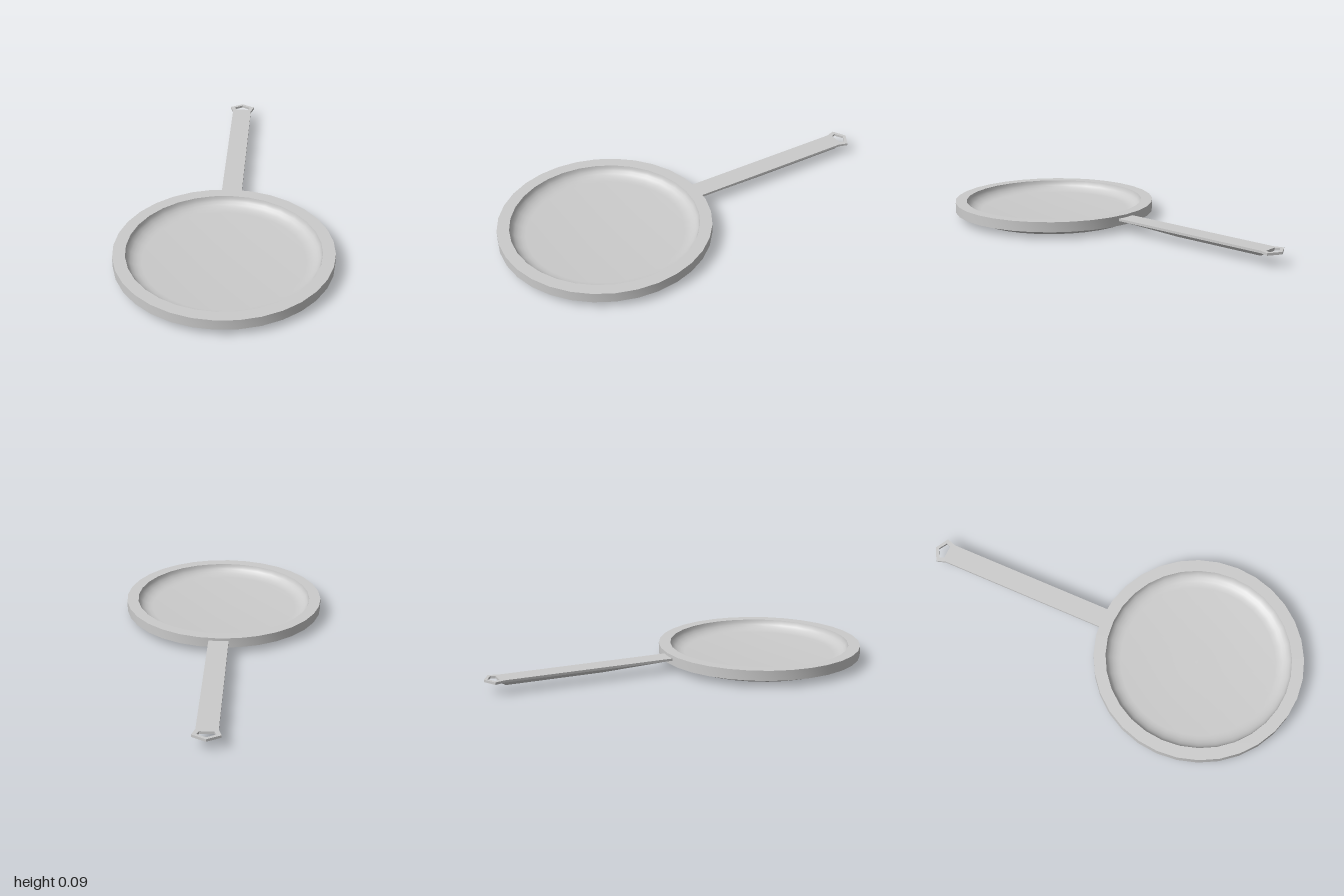
import * as THREE from 'three';
import { toCreasedNormals } from 'three/addons/utils/BufferGeometryUtils.js';

const material = new THREE.MeshStandardMaterial({ color: 0xcccccc });

function addMesh(group, name, geometry, crease) {
  const mesh = new THREE.Mesh(toCreasedNormals(geometry, crease), material);
  mesh.name = name;
  group.add(mesh);
  return mesh;
}

const points = (list) => list.map(([x, y]) => new THREE.Vector2(x, y));

export function createModel() {
  const group = new THREE.Group();
  group.name = 'fryingPan';

  // Pan: bevelled base, upright outer band, flat rim and a filleted shallow bowl
  const profile = [[0, 0], [0.43, 0], [0.485, 0.034], [0.525, 0.034], [0.525, 0.085], [0.465, 0.085]];
  const steps = 6;
  for (let i = 1; i <= steps; i++) {
    const a = (i / steps) * Math.PI / 2;
    profile.push([0.39 + 0.075 * Math.cos(a), 0.085 - 0.053 * Math.sin(a)]);
  }
  profile.push([0, 0.032]);
  const pan = addMesh(group, 'pan', new THREE.LatheGeometry(points(profile), 32), 0.5);
  pan.position.z = 0.475;

  const handle = new THREE.Group();
  handle.name = 'handle';
  group.add(handle);

  // Handle plate with a five-sided hanging end; shape y runs backwards along -z
  const plate = new THREE.Shape(points([
    [-0.051, 0.02], [0.051, 0.02], [0.051, 0.915], [0.066, 0.963],
    [0, 1], [-0.066, 0.963], [-0.051, 0.915],
  ]));
  plate.holes.push(new THREE.Path(points([
    [-0.033, 0.934], [-0.043, 0.957], [0, 0.983], [0.043, 0.957], [0.033, 0.934],
  ])));
  const plateGeometry = new THREE.ExtrudeGeometry(plate, { depth: 0.012, bevelEnabled: false });
  plateGeometry.rotateX(-Math.PI / 2);
  plateGeometry.translate(0, 0.058, 0);
  addMesh(handle, 'handlePlate', plateGeometry, 0.4);

  // Shallow belly below the plate, deepening away from the pan: [z, bottom y]
  const sections = [[-0.03, 0.055], [-0.42, 0.041], [-0.905, 0.041], [-0.932, 0.056]];
  const vertices = [];
  const indices = [];
  sections.forEach(([z, y], s) => {
    vertices.push(-0.051, 0.06, z, -0.036, y, z, 0.036, y, z, 0.051, 0.06, z);
    if (s === 0) return;
    for (let i = 0; i < 4; i++) {
      const j = (i + 1) % 4;
      const a = (s - 1) * 4;
      const b = s * 4;
      indices.push(a + i, b + i, a + j, a + j, b + i, b + j);
    }
  });
  const e = (sections.length - 1) * 4;
  indices.push(0, 1, 2, 0, 2, 3, e, e + 2, e + 1, e, e + 3, e + 2);
  const belly = new THREE.BufferGeometry();
  belly.setAttribute('position', new THREE.Float32BufferAttribute(vertices, 3));
  belly.setIndex(indices);
  addMesh(handle, 'handleBelly', belly, 0.4);

  return group;
}
